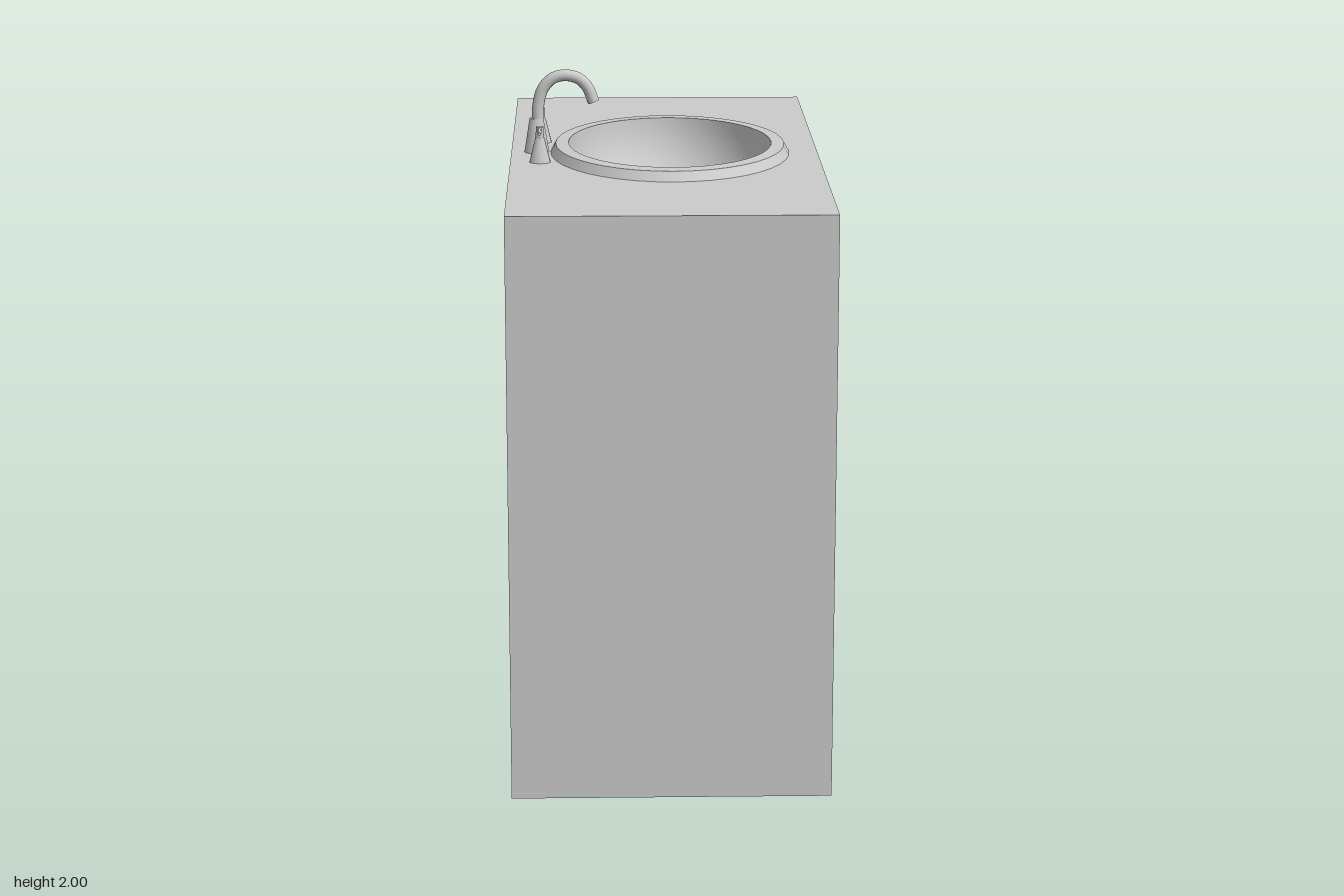
import * as THREE from 'three';

const TOP = 1.745, HW = 0.47, HD = 0.94;

export function createModel() {
  const group = new THREE.Group();
  const grey = new THREE.MeshStandardMaterial({ color: 0xcccccc, side: THREE.DoubleSide });
  const add = (name, geometry, parent = group) => {
    const mesh = new THREE.Mesh(geometry, grey);
    mesh.name = name;
    parent.add(mesh);
    return mesh;
  };

  // Thin cabinet panels; the -x side is open
  add('frontPanel', new THREE.PlaneGeometry(2 * HD, TOP).rotateY(Math.PI / 2).translate(HW, TOP / 2, 0));
  for (const s of [1, -1]) {
    const panel = new THREE.PlaneGeometry(2 * HW, TOP);
    if (s < 0) panel.rotateY(Math.PI);
    add(s > 0 ? 'sidePanelA' : 'sidePanelB', panel.translate(0, TOP / 2, s * HD));
  }

  // Countertop with an oval cutout for the basin
  const cx = 0.017, ratio = 0.775;
  const top = new THREE.Shape();
  top.moveTo(-HW, -HD).lineTo(HW, -HD).lineTo(HW, HD).lineTo(-HW, HD).closePath();
  const hole = new THREE.Path();
  hole.absellipse(cx, 0, 0.44 * ratio, 0.44, 0, Math.PI * 2, true);
  top.holes.push(hole);
  add('countertop', new THREE.ShapeGeometry(top, 24).rotateX(-Math.PI / 2).translate(0, TOP, 0));

  // Oval basin: sharp-edged rim bands and a smooth bowl
  const basin = new THREE.Group();
  basin.name = 'basin';
  group.add(basin);
  const oval = (name, points) => add(name,
    new THREE.LatheGeometry(points.map(p => new THREE.Vector2(...p)), 40)
      .scale(ratio, 1, 1).translate(cx, 0, 0), basin);
  oval('rimSlope', [[0.473, TOP], [0.453, 1.773]]);
  oval('rimTop', [[0.453, 1.773], [0.402, 1.775]]);
  const bowl = [];
  for (let i = 0; i <= 14; i++) {
    const a = (i / 14) * Math.PI / 2;
    bowl.push([0.402 * Math.cos(a), 1.775 - 0.32 * Math.sin(a)]);
  }
  oval('bowl', bowl);

  // Gooseneck spout on a flared base
  const faucet = new THREE.Group();
  faucet.name = 'faucet';
  group.add(faucet);
  add('spoutBase', new THREE.CylinderGeometry(0.021, 0.038, 0.105, 12).translate(-0.392, TOP + 0.0525, 0), faucet);
  const path = new THREE.CatmullRomCurve3([
    [-0.388, 1.84], [-0.386, 1.89], [-0.372, 1.94], [-0.343, 1.972], [-0.305, 1.982],
    [-0.264, 1.973], [-0.235, 1.945], [-0.217, 1.9],
  ].map(([x, y]) => new THREE.Vector3(x, y, 0)));
  add('spout', new THREE.TubeGeometry(path, 28, 0.018, 12), faucet);
  add('spoutTip', new THREE.CircleGeometry(0.018, 12).rotateX(Math.PI / 2).rotateZ(0.35)
    .translate(-0.217, 1.9, 0), faucet);

  // Two mirrored taps with outward levers
  for (const s of [1, -1]) {
    const tap = new THREE.Group();
    tap.name = s > 0 ? 'tapA' : 'tapB';
    tap.position.set(-0.38, TOP, s * 0.16);
    group.add(tap);
    add('tapBase', new THREE.CylinderGeometry(0.014, 0.033, 0.075, 10).translate(0, 0.0375, 0), tap);
    add('tapStem', new THREE.CylinderGeometry(0.012, 0.013, 0.034, 10).translate(0, 0.091, 0), tap);
    add('tapLever', new THREE.CylinderGeometry(0.007, 0.005, 0.09, 8)
      .rotateX(-s * Math.PI / 2).translate(0, 0.1, s * 0.037), tap);
  }
  return group;
}
